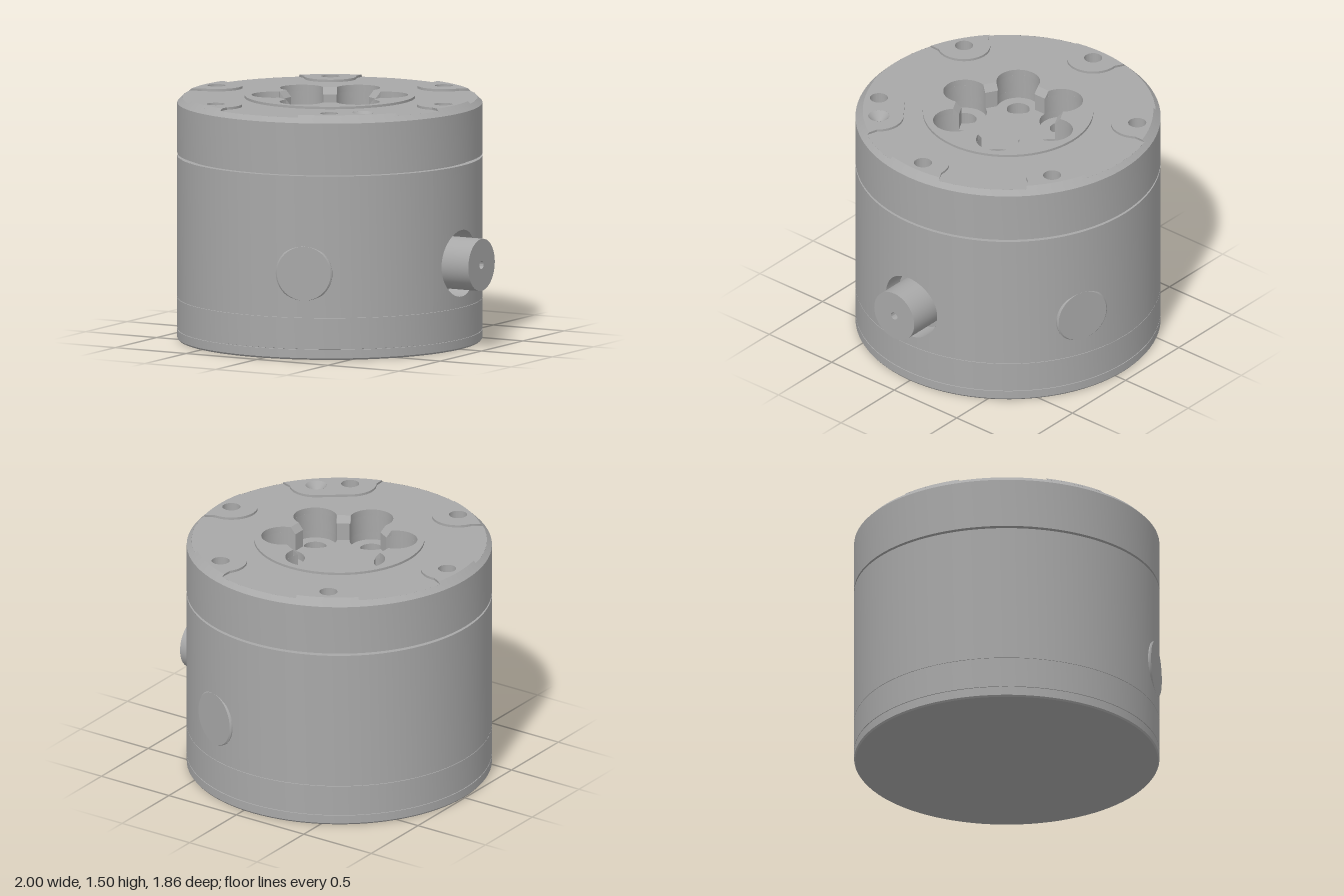
import * as THREE from 'three';
import { toCreasedNormals } from 'three/addons/utils/BufferGeometryUtils.js';

const R = 0.93;               // housing radius
const BORE_Y = 0.53, BORE_R = 0.205;
const PATCH = 0.3;            // half angle of the wall panel around the shaft bore
const DEG = Math.PI / 180;

export function createModel() {
  const model = new THREE.Group();
  model.name = 'cylindricalCoupling';
  const metal = new THREE.MeshStandardMaterial({ color: 0xa8a8a8, side: THREE.DoubleSide });
  metal.name = 'grey metal';

  const add = (name, geo) => {
    const mesh = new THREE.Mesh(toCreasedNormals(geo, 0.5), metal);
    mesh.name = name;
    mesh.position.x = -0.07;
    model.add(mesh);
    return mesh;
  };
  const lathe = (pts, seg = 96, start = 0, length = Math.PI * 2) =>
    new THREE.LatheGeometry(pts.map(p => new THREE.Vector2(...p)), seg, start, length);
  const polar = (r, a) => [r * Math.cos(a), r * Math.sin(a)];
  const circle = (x, y, r) => new THREE.Path().absarc(x, y, r, 0, Math.PI * 2, true);
  const disc = r => new THREE.Shape().absarc(0, 0, r, 0, Math.PI * 2, false);
  // Flat horizontal plate between two heights
  const slab = (outline, holes, y0, y1) => {
    outline.holes.push(...holes);
    return new THREE.ExtrudeGeometry(outline, { depth: y1 - y0, bevelEnabled: false, curveSegments: 32 })
      .rotateX(-Math.PI / 2).translate(0, y0, 0);
  };

  // Base rings with fine seams
  add('base', lathe([[0, 0], [0.922, 0], [R, 0.01], [R, 0.062], [0.926, 0.063], [0.926, 0.066],
    [R, 0.067], [R, 0.257], [0.926, 0.258], [0.926, 0.26], [R, 0.26]]));
  // Main wall, leaving a gap for the bored panel
  add('wall', lathe([[R, 0.26], [R, 1.13]], 96, Math.PI / 2 + PATCH, Math.PI * 2 - 2 * PATCH));
  add('boredPanel', boredPanel());
  // Groove, upper collar and top chamfer
  add('collar', lathe([[R, 1.13], [0.89, 1.13], [0.89, 1.145], [R, 1.145], [R, 1.455], [0.9, 1.485]]));

  // Bore and shaft on the model's left
  const bore = lathe([[0.16, 0.8], [0.19, 0.8], [0.19, 0.76], [BORE_R, 0.76], [BORE_R, R]], 64)
    .rotateZ(-Math.PI / 2);
  const bp = bore.attributes.position;
  for (let i = 0; i < bp.count; i++)
    if (bp.getX(i) > 0.9) bp.setX(i, Math.sqrt(R * R - bp.getZ(i) ** 2));
  add('bore', bore.translate(0, BORE_Y, 0));
  add('shaft', lathe([[0.16, 0.7], [0.16, 1.07], [0.025, 1.07], [0.025, 1.03], [0, 1.03]], 48)
    .rotateZ(-Math.PI / 2).translate(0, BORE_Y, 0));

  // Flat plugs, front and back
  for (const side of [1, -1]) {
    const plug = lathe([[0.175, 0.8], [0.175, 0.922], [0.166, R], [0, R]], 48)
      .rotateX(Math.PI / 2).rotateY(20.4 * DEG);
    if (side < 0) plug.rotateY(Math.PI - 40.8 * DEG);
    add(side > 0 ? 'frontPlug' : 'backPlug', plug.translate(0, BORE_Y, 0));
  }

  // Top plate with screw holes and a conical dimple
  const screws = [0, 1, 2, 3, 4, 5].map(k => k * 60 * DEG);
  const dimple = polar(0.79, -45 * DEG);
  const screwHole = a => circle(...polar(0.8, a), 0.055);
  add('topPlate', slab(disc(0.9), [circle(0, 0, 0.5), circle(...dimple, 0.065), ...screws.map(screwHole)], 1.39, 1.485));
  add('holeFloor', slab(disc(0.89), [circle(0, 0, 0.5)], 1.37, 1.39));
  add('dimple', lathe([[0, 1.43], [0.065, 1.5]], 32).translate(dimple[0], 0, -dimple[1]));

  // Raised screw pads; one is stretched to take in the dimple
  screws.forEach((a, k) => {
    const wide = k === 5;
    const a0 = wide ? -60 * DEG : a, a1 = wide ? -45 * DEG : a;
    const mid = (a0 + a1) / 2 + Math.PI;
    const s = new THREE.Shape();
    s.absarc(0, 0, 0.885, a0 - 0.215, a1 + 0.215, false);
    s.absarc(...polar(0.8, a1), 0.16, a1 + 85 * DEG, mid, false);
    s.absarc(...polar(0.8, a0), 0.16, mid, a0 + 275 * DEG, false);
    const holes = [screwHole(a)];
    if (wide) holes.push(circle(...dimple, 0.065));
    const geo = slab(s, holes, 1.485, 1.5);
    // Slope the outer edge in line with the chamfer
    const p = geo.attributes.position;
    for (let i = 0; i < p.count; i++) {
      const r = Math.hypot(p.getX(i), p.getZ(i));
      if (p.getY(i) < 1.49 && r > 0.878) p.setXYZ(i, p.getX(i) * 0.9 / r, p.getY(i), p.getZ(i) * 0.9 / r);
    }
    add('screwPad', geo);
  });

  // Central hub: joined pocket, counterbores, bolt holes
  const bolts = screws.map(a => a + 30 * DEG);
  const boltCircles = r => bolts.map(a => circle(...polar(0.344, a), r));
  add('hubRim', slab(disc(0.52), [pocket(0.332)], 1.46, 1.5));
  add('hubPocket', slab(disc(0.52), [pocket(0.297)], 1.35, 1.46));
  add('hubCounterbores', slab(disc(0.52), boltCircles(0.133), 1.3, 1.35));
  add('hubBoltHoles', slab(disc(0.52), boltCircles(0.07), 1.2, 1.3));
  add('hubFloor', slab(disc(0.52), [], 1.18, 1.2));
  // Sloped edge on each bridge between counterbores
  const wedge = new THREE.Shape([[0.297, 1.46], [0.34, 1.46], [0.332, 1.5]].map(p => new THREE.Vector2(...p)));
  for (const a of screws)
    add('bridgeChamfer', new THREE.ExtrudeGeometry(wedge, { depth: 0.084, bevelEnabled: false })
      .translate(0, 0, -0.042).rotateY(a));

  return model;
}

// Outline of six circles joined by a hexagon with the given apothem
function pocket(apothem) {
  const rc = 0.344, r = 0.133, pts = [];
  const start = Math.asin((apothem - rc * Math.cos(30 * DEG)) / r);
  // Circle angles are measured from each bolt's own radial direction
  const half = 120 * DEG - start;
  for (let k = 0; k < 6; k++) {
    const a = (30 + 60 * k) * DEG;
    for (let i = 0; i <= 32; i++) {
      const b = a - half + 2 * half * i / 32;
      pts.push(new THREE.Vector2(rc * Math.cos(a) + r * Math.cos(b), rc * Math.sin(a) + r * Math.sin(b)));
    }
  }
  return new THREE.Path(pts);
}

// Curved wall panel with a round hole, as rings from hole to border
function boredPanel() {
  const n = 16, rings = 6, pos = [], idx = [];
  for (let i = 0; i <= 4 * n; i++) {
    const side = Math.floor(i / n) % 4, f = (i % n) / n * 2 - 1;
    const [sx, sy] = [[1, f], [-f, 1], [-1, -f], [f, -1]][side];
    const phi = Math.atan2(sy, sx);
    const holeTheta = Math.asin(BORE_R * Math.cos(phi) / R), holeY = BORE_R * Math.sin(phi);
    for (let j = 0; j <= rings; j++) {
      const t = j / rings;
      const theta = THREE.MathUtils.lerp(holeTheta, sx * PATCH, t);
      const y = THREE.MathUtils.lerp(holeY, sy * (sy > 0 ? 0.6 : 0.27), t);
      pos.push(R * Math.cos(theta), BORE_Y + y, -R * Math.sin(theta));
      if (i < 4 * n && j < rings) {
        const a = i * (rings + 1) + j, d = a + rings + 1;
        idx.push(a, a + 1, d + 1, a, d + 1, d);
      }
    }
  }
  const geo = new THREE.BufferGeometry();
  geo.setAttribute('position', new THREE.Float32BufferAttribute(pos, 3));
  geo.setIndex(idx);
  geo.computeVertexNormals();
  return geo;
}
